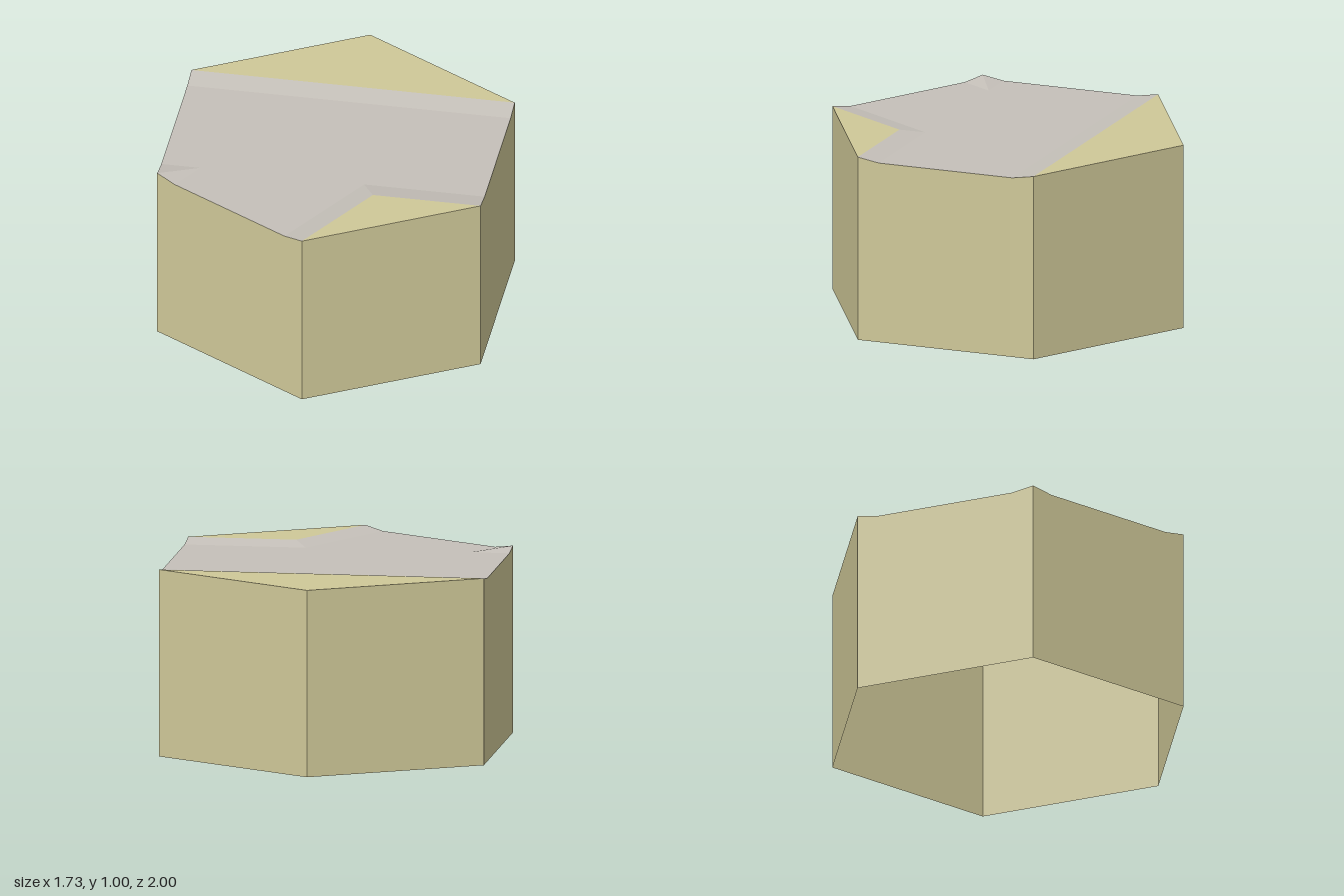
import * as THREE from 'three';

const LOW = 0.98;

// Flat-shaded mesh from a list of triangles of Vector3
function triMesh(name, points, material) {
  const geometry = new THREE.BufferGeometry().setFromPoints(points);
  geometry.computeVertexNormals();
  const mesh = new THREE.Mesh(geometry, material);
  mesh.name = name;
  return mesh;
}

// Upward polygon, corners counter-clockwise seen from above
function topFace(name, corners, material) {
  const flat = corners.map((p) => new THREE.Vector2(p.x, -p.z));
  const tris = THREE.ShapeUtils.triangulateShape(flat, []);
  return triMesh(name, tris.flat().map((i) => corners[i]), material);
}

export function createModel() {
  const sand = new THREE.MeshStandardMaterial({ color: 0xcfc898, side: THREE.DoubleSide });
  sand.name = 'sand';
  const stone = new THREE.MeshStandardMaterial({ color: 0xc5c0b9, side: THREE.DoubleSide });
  stone.name = 'stone grey';

  const tile = new THREE.Group();
  tile.name = 'hexTile';
  const v = (x, z, y = 1) => new THREE.Vector3(x, y, z);
  const w = Math.sqrt(3) / 2;

  // Hexagon corners at full height
  const front = v(0, 1), frontLeft = v(w, 0.5), backLeft = v(w, -0.5);
  const back = v(0, -1), backRight = v(-w, -0.5), frontRight = v(-w, 0.5);
  const bend = v(0.289, 0.5);

  // Corners of the sunken path bed
  const frontLeftLow = v(w, 0.38, LOW), backLeftLow = v(w, -0.38, LOW);
  const backRightLow = v(-w, -0.38, LOW), frontRightLow = v(-w, 0.38, LOW);
  const spike = v(-0.658, 0.38, LOW), spikeEdge = v(-0.762, 0.56, LOW);
  const frontLow = v(-0.104, 0.94, LOW), bendLow = v(0.22, 0.38, LOW);

  // Side walls, following the notched rim; the bottom is open
  const rim = [front, frontLeft, frontLeftLow, backLeftLow, backLeft, back, backRight,
    backRightLow, frontRightLow, frontRight, spikeEdge, frontLow];
  const walls = rim.flatMap((a, i) => {
    const b = rim[(i + 1) % rim.length];
    const a0 = v(a.x, a.z, 0), b0 = v(b.x, b.z, 0);
    return [a0, b0, b, a0, b, a];
  });
  tile.add(triMesh('sideWalls', walls, sand));

  // Raised ground beside the path
  tile.add(topFace('backGround', [backLeft, back, backRight], sand));
  tile.add(topFace('frontGround', [front, frontLeft, bend], sand));

  // Path bed and its sloping banks
  tile.add(topFace('pathBed', [frontLeftLow, backLeftLow, backRightLow, frontRightLow,
    spike, spikeEdge, frontLow, bendLow], stone));
  const banks = [
    ['backBank', [backLeftLow, backLeft, backRight, backRightLow]],
    ['frontSideBank', [bendLow, bend, frontLeft, frontLeftLow]],
    ['frontBank', [frontLow, front, bend, bendLow]],
    ['cornerBankBack', [frontRight, spike, frontRightLow]],
    ['cornerBankFront', [frontRight, spikeEdge, spike]],
  ];
  for (const [name, corners] of banks) tile.add(topFace(name, corners, stone));

  return tile;
}
